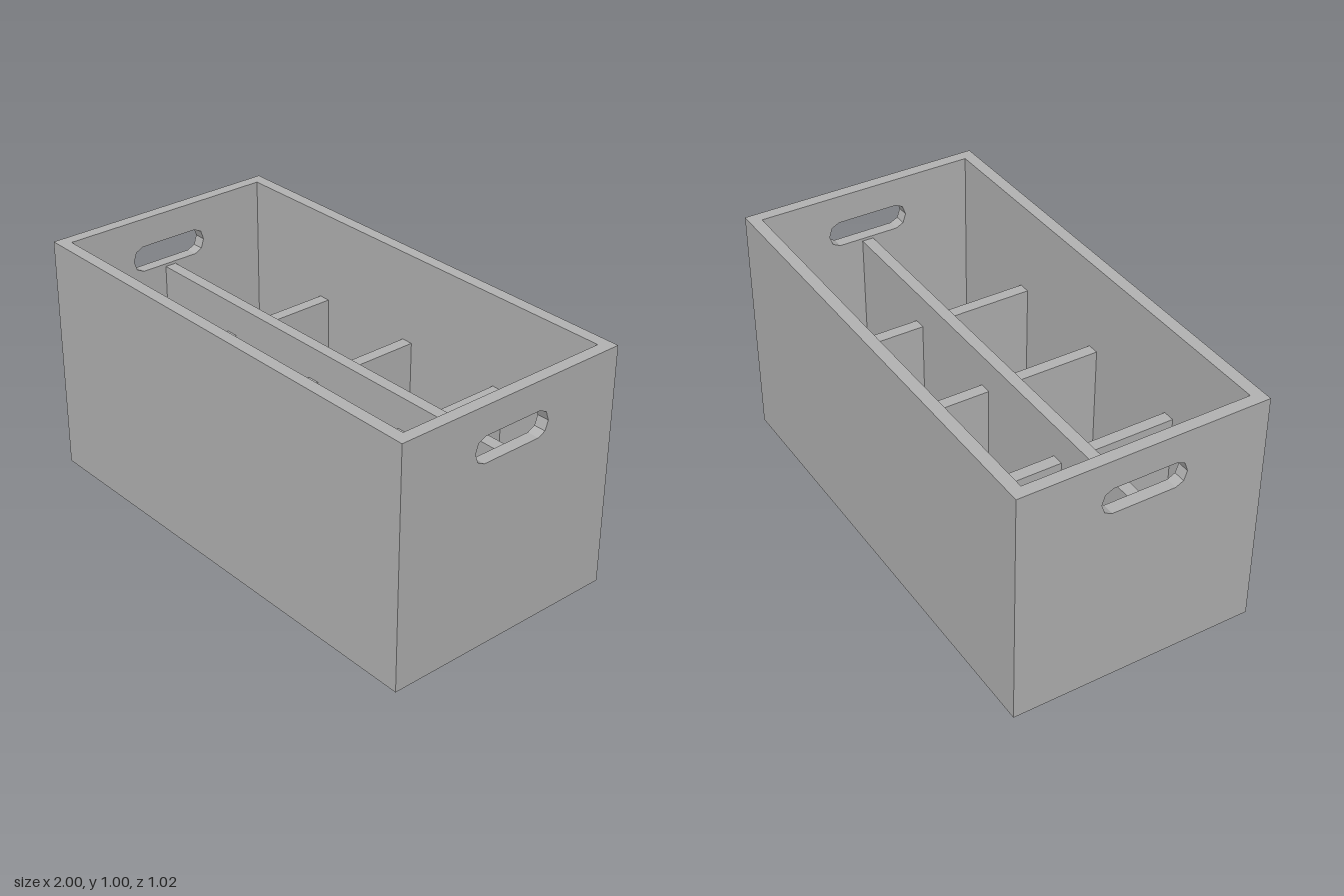
import * as THREE from 'three';

const LENGTH = 2, HEIGHT = 1, DEPTH = 1.024, WALL = 0.05;

export function createModel() {
  const crate = new THREE.Group();
  crate.name = 'dividedCrate';
  const grey = new THREE.MeshStandardMaterial({ color: 0xb2b2b2 });
  grey.name = 'grey';

  function addMesh(name, geometry, x, y, z) {
    const mesh = new THREE.Mesh(geometry, grey);
    mesh.name = name;
    mesh.position.set(x, y, z);
    crate.add(mesh);
    return mesh;
  }
  // Box given by its lower and upper limits on each axis
  function addBox(name, [x0, x1], [y0, y1], [z0, z1]) {
    return addMesh(name, new THREE.BoxGeometry(x1 - x0, y1 - y0, z1 - z0),
      (x0 + x1) / 2, (y0 + y1) / 2, (z0 + z1) / 2);
  }

  const innerX = LENGTH / 2 - WALL, innerZ = DEPTH / 2 - WALL;

  // Floor and long walls
  addBox('floor', [-innerX, innerX], [0, WALL], [-innerZ, innerZ]);
  addBox('frontWall', [-innerX, innerX], [0, HEIGHT], [innerZ, DEPTH / 2]);
  addBox('backWall', [-innerX, innerX], [0, HEIGHT], [-DEPTH / 2, -innerZ]);

  // End walls, each with a faceted grip hole
  const end = new THREE.Shape([
    new THREE.Vector2(-DEPTH / 2, 0), new THREE.Vector2(DEPTH / 2, 0),
    new THREE.Vector2(DEPTH / 2, HEIGHT), new THREE.Vector2(-DEPTH / 2, HEIGHT),
  ]);
  const gripY = 0.826, gripR = 0.054, gripHalf = 0.13;
  const corners = [];
  for (const side of [1, -1]) {
    for (let i = 0; i <= 4; i++) {
      const a = -Math.PI / 2 + (i * Math.PI) / 4;
      corners.push(new THREE.Vector2(
        side * (gripHalf + 0.045 * Math.cos(a)), gripY + side * gripR * Math.sin(a)));
    }
  }
  end.holes.push(new THREE.Path(corners));
  const endGeometry = new THREE.ExtrudeGeometry(end, { depth: WALL, bevelEnabled: false });
  endGeometry.rotateY(Math.PI / 2);
  addMesh('leftEndWall', endGeometry, innerX, 0, 0);
  addMesh('rightEndWall', endGeometry, -LENGTH / 2, 0, 0);

  // Taller lengthwise divider
  const dividerZ = [-0.028, 0.021];
  addBox('longDivider', [-innerX, innerX], [WALL, 0.76], dividerZ);

  // Lower cross dividers on both sides of it
  for (const x of [-0.515, -0.015, 0.485]) {
    const span = [x - 0.025, x + 0.025];
    addBox('backCrossDivider', span, [WALL, 0.625], [-innerZ, dividerZ[0]]);
    addBox('frontCrossDivider', span, [WALL, 0.625], [dividerZ[1], innerZ]);
  }
  return crate;
}
